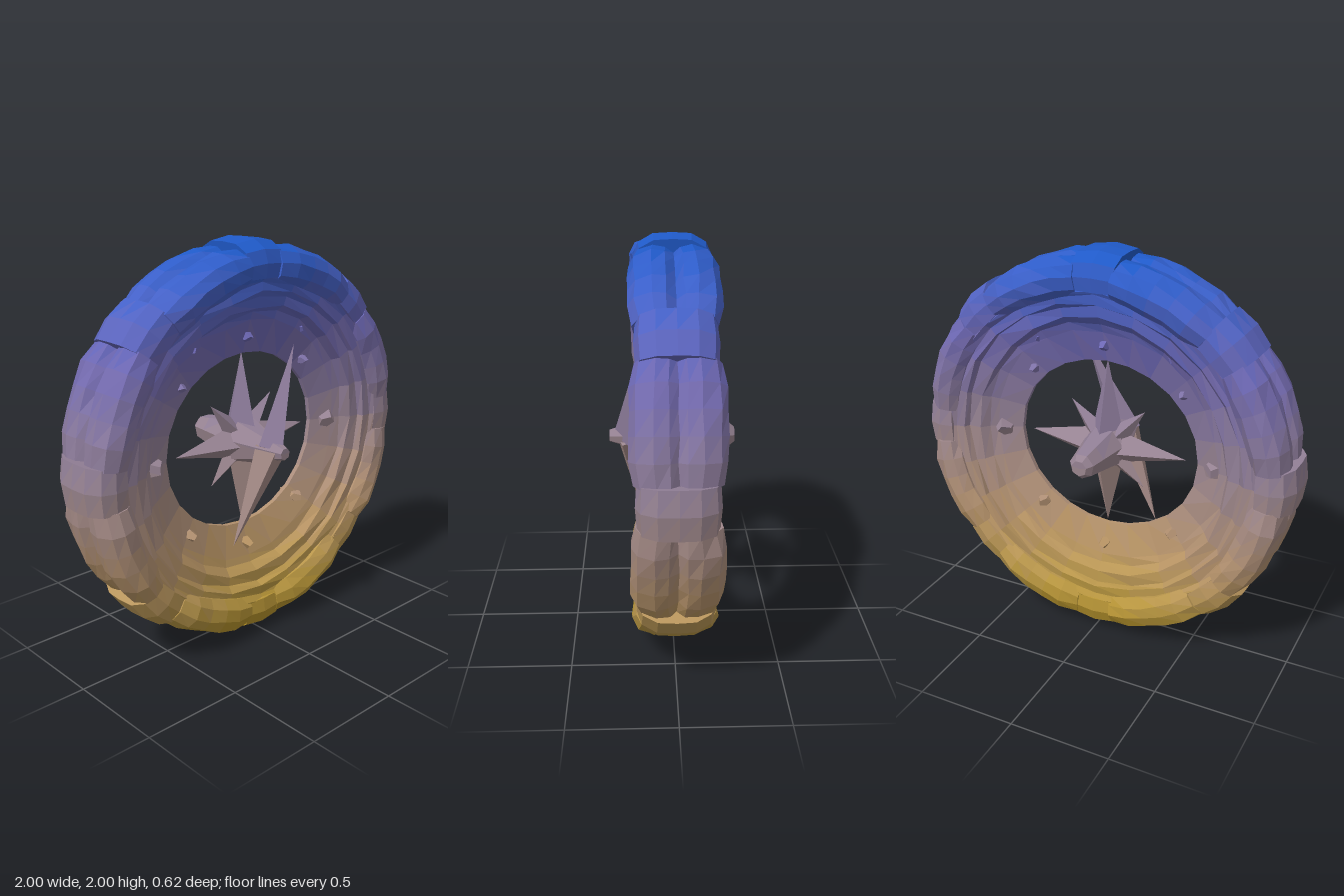
import * as THREE from 'three';

// Height gradient, gold at the foot to blue at the top
const STOPS = [[0, 0xb08c10], [0.2, 0xb8963c], [0.5, 0xb89468], [1, 0x988490],
  [1.5, 0x7068b0], [1.8, 0x4060c8], [2, 0x1458c8]];
const BANDS = 32;

function heightColor(y) {
  let i = 0;
  while (i < STOPS.length - 2 && y > STOPS[i + 1][0]) i++;
  const [y0, c0] = STOPS[i], [y1, c1] = STOPS[i + 1];
  return new THREE.Color(c0).lerp(new THREE.Color(c1), THREE.MathUtils.clamp((y - y0) / (y1 - y0), 0, 1));
}

const materials = Array.from({ length: BANDS }, (_, i) => new THREE.MeshStandardMaterial({
  color: heightColor((i + 0.5) * 2 / BANDS), flatShading: true,
}));

// Turn a geometry into a named part, its triangles sorted into coloured height bands
function tinted(name, geometry) {
  const part = new THREE.Group();
  part.name = name;
  const flat = geometry.index ? geometry.toNonIndexed() : geometry;
  const p = flat.attributes.position.array;
  const buckets = new Map();
  for (let i = 0; i < p.length; i += 9) {
    const y = (p[i + 1] + p[i + 4] + p[i + 7]) / 3;
    const band = THREE.MathUtils.clamp(Math.floor(y / 2 * BANDS), 0, BANDS - 1);
    if (!buckets.has(band)) buckets.set(band, []);
    buckets.get(band).push(...p.slice(i, i + 9));
  }
  for (const [band, tris] of buckets) {
    const g = new THREE.BufferGeometry();
    g.setAttribute('position', new THREE.Float32BufferAttribute(tris, 3));
    g.computeVertexNormals();
    const mesh = new THREE.Mesh(g, materials[band]);
    mesh.name = name + 'Band';
    part.add(mesh);
  }
  return part;
}

// Repeatable small irregularity for the hewn look
function wobble(a, b) {
  const s = Math.sin(a * 127.1 + b * 311.7) * 43758.5453;
  return (s - Math.floor(s)) * 2 - 1;
}

// Front half of a section as [radius, z], mirrored to the back
const mirrored = (half) => [...half, ...half.filter(([, z]) => z > 0).reverse().map(([r, z]) => [r, -z])];

// Sweep a section around the hub from angle a0 to a1; rule(r, z, j, k, a) reshapes each point
function arcSweep(section, a0, a1, steps, rule, closed = false) {
  const n = section.length, pos = [], index = [];
  for (let j = 0; j <= steps; j++) {
    const a = a0 + (a1 - a0) * j / steps;
    section.forEach(([r0, z0], k) => {
      const [r, z] = rule(r0, z0, closed ? j % steps : j, k, a);
      pos.push(r * Math.cos(a), 1 + r * Math.sin(a), z);
    });
  }
  for (let j = 0; j < steps; j++) for (let k = 0; k < n; k++) {
    const A = j * n + k, B = j * n + (k + 1) % n, C = A + n, D = B + n;
    index.push(A, C, B, C, D, B);
  }
  if (!closed) for (const j of [0, steps]) {
    const c = pos.length / 3, mid = [0, 0, 0];
    for (let k = 0; k < n; k++) for (let m = 0; m < 3; m++) mid[m] += pos[(j * n + k) * 3 + m] / n;
    pos.push(...mid);
    for (let k = 0; k < n; k++) {
      const A = j * n + k, B = j * n + (k + 1) % n;
      if (j === 0) index.push(c, A, B); else index.push(c, B, A);
    }
  }
  const g = new THREE.BufferGeometry();
  g.setAttribute('position', new THREE.Float32BufferAttribute(pos, 3));
  g.setIndex(index);
  return g;
}

// Four-sided spike from one point to another
function spike(from, to, width, depth) {
  const dir = new THREE.Vector3().subVectors(to, from);
  const g = new THREE.ConeGeometry(1, 1, 4);
  g.translate(0, 0.5, 0).scale(width, dir.length(), depth);
  g.applyQuaternion(new THREE.Quaternion().setFromUnitVectors(new THREE.Vector3(0, 1, 0), dir.normalize()));
  return g.translate(from.x, from.y, from.z);
}

export function createModel() {
  const model = new THREE.Group();
  model.name = 'compassWheel';
  const V = (x, y, z) => new THREE.Vector3(x, y, z);

  // Stepped inner ring thinning to a sharp, slightly oval hole
  const ringHalf = [[0.92, 0.06], [0.9, 0.14], [0.83, 0.165], [0.8, 0.15], [0.755, 0.15],
    [0.74, 0.12], [0.68, 0.115], [0.65, 0.075], [0.61, 0.06], [0.465, 0.012]];
  model.add(tinted('innerRing', arcSweep(mirrored(ringHalf), 0, Math.PI * 2, 24, (r, z, j, k, a) =>
    r < 0.5 ? [r + 0.02 * Math.cos(2 * a), z]
      : [r + 0.01 * wobble(j, k), z + 0.006 * wobble(k, j)], true)));

  // Eight double-lobed rim blocks with eight clamps between them
  const blockHalf = [[0.935, 0], [0.967, 0.04], [0.975, 0.1], [0.945, 0.175], [0.89, 0.205],
    [0.83, 0.195], [0.79, 0.16], [0.78, 0]];
  const clampHalf = [[1, 0], [0.995, 0.09], [0.955, 0.16], [0.89, 0.182], [0.82, 0.172], [0.8, 0.1]];
  const gap = 0.115;
  for (let i = 0; i < 8; i++) {
    const a = i * Math.PI / 4;
    model.add(tinted('rimBlock', arcSweep(mirrored(blockHalf), a + gap - 0.01, a + Math.PI / 4 - gap + 0.01, 5,
      (r, z, j, k) => {
        const s = j === 0 || j === 5 ? 0.9 : 1;
        return [0.87 + (r - 0.87) * s + 0.006 * wobble(j + i * 7, k), z * s + 0.005 * wobble(k, j + i * 7)];
      })));
    model.add(tinted('clamp', arcSweep(mirrored(clampHalf), a - gap, a + gap, 2,
      (r, z, j) => (j === 1 ? [r, z] : [0.88 + (r - 0.88) * 0.92, z * 0.96]))));
  }

  // Studs set through the inner ring: [x, y from hub, size]
  const studs = [[-0.58, 0, 0.06], [0.58, 0, 0.06], [0, 0.53, 0.033], [0, -0.55, 0.042],
    [-0.35, 0.52, 0.035], [0.35, 0.52, 0.035], [-0.41, 0.35, 0.028], [0.39, 0.35, 0.03],
    [-0.37, -0.4, 0.04], [0.36, -0.39, 0.04]];
  studs.forEach(([x, y, s], i) => {
    const g = new THREE.DodecahedronGeometry(1, 0);
    g.scale(s, s * 0.9, 0.06 + s * 0.6).rotateZ(i * 0.7).translate(x, 1 + y, 0);
    model.add(tinted('stud', g));
  });

  // Star with four long and four short points
  const hub = V(0, 1, 0);
  [[0, 0.45], [0, -0.43], [0.43, 0], [-0.42, 0]].forEach(([x, y]) =>
    model.add(tinted('longPoint', spike(hub, V(x, 1 + y, 0), 0.1, 0.12))));
  for (const x of [-0.2, 0.2]) for (const y of [0.8, 1.21])
    model.add(tinted('shortPoint', spike(hub, V(x, y, 0), 0.08, 0.08)));

  // Hub with a pointed boss in front and a blunt one behind
  model.add(tinted('hub', new THREE.IcosahedronGeometry(0.13, 0).translate(0, 1, 0)));
  model.add(tinted('frontBoss',
    new THREE.CylinderGeometry(0.03, 0.12, 0.28, 7).rotateX(Math.PI / 2).translate(0, 1, 0.17)));
  const backProfile = [[0, -0.31], [0.04, -0.31], [0.065, -0.28], [0.08, -0.2], [0.11, -0.05]]
    .map(([r, h]) => new THREE.Vector2(r, h));
  model.add(tinted('backBoss', new THREE.LatheGeometry(backProfile, 7).rotateX(Math.PI / 2).translate(0, 1, 0)));

  // Slanted needle bent back from the front boss
  const pivot = V(0, 1, 0.21);
  model.add(tinted('needleUpper', spike(pivot, V(0.2, 1.48, 0.16), 0.085, 0.08)));
  model.add(tinted('needleLower', spike(pivot, V(-0.2, 0.53, 0.16), 0.08, 0.08)));
  return model;
}
